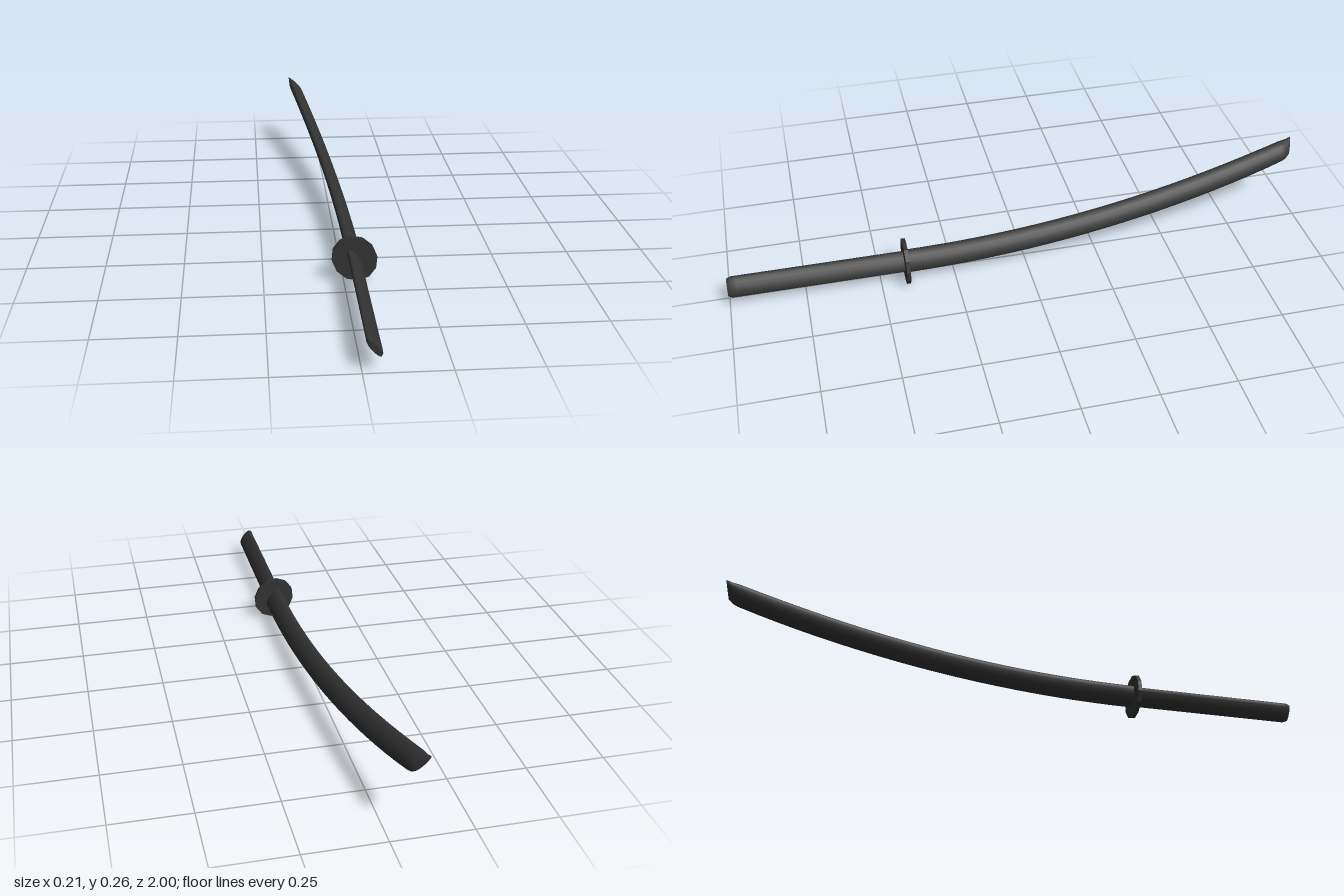
import * as THREE from 'three';

const SIDES = 16;

// Skins a row of elliptical sections running from +z to -z.
// Section: z, y centre, half height a, half width b, lean (z shift of the top).
// A repeated section gives a sharp edge; a section of zero size closes an end.
function loft(sections) {
  const pos = [], index = [];
  for (const { z, y = 0, a = 0, b = 0, lean = 0 } of sections) {
    for (let j = 0; j < SIDES; j++) {
      const t = (j / SIDES) * Math.PI * 2;
      pos.push(b * Math.cos(t), y + a * Math.sin(t), z + lean * Math.sin(t));
    }
  }
  for (let i = 0; i < sections.length - 1; i++) {
    for (let j = 0; j < SIDES; j++) {
      const k = (j + 1) % SIDES;
      const p = i * SIDES + j, q = i * SIDES + k;
      index.push(p, p + SIDES, q, p + SIDES, q + SIDES, q);
    }
  }
  const geo = new THREE.BufferGeometry();
  geo.setAttribute('position', new THREE.Float32BufferAttribute(pos, 3));
  geo.setIndex(index);
  geo.computeVertexNormals();
  return geo;
}

export function createModel() {
  const model = new THREE.Group();
  model.name = 'curvedSword';
  const dark = new THREE.MeshStandardMaterial({ color: 0x333333 });
  const darkFlat = new THREE.MeshStandardMaterial({ color: 0x333333, flatShading: true });

  // The whole sword is rolled about its long axis
  const sword = new THREE.Group();
  sword.name = 'sword';
  sword.position.set(0.034, 0.0745, 0);
  sword.rotation.z = THREE.MathUtils.degToRad(36.5);
  model.add(sword);

  const add = (name, geo, mat) => {
    const mesh = new THREE.Mesh(geo, mat);
    mesh.name = name;
    sword.add(mesh);
    return mesh;
  };

  // Straight oval grip with a softened pommel end
  const end = { z: 1, a: 0.029, b: 0.009 };
  const grip = { a: 0.035, b: 0.0135 };
  add('handle', loft([
    { z: 1 }, end, end,
    { z: 0.985, ...grip }, { z: 0.97, ...grip }, { z: 0.41, ...grip },
  ]), dark);

  // Twelve-sided guard, slightly taller than wide
  const guard = add('guard',
    new THREE.CylinderGeometry(1, 1, 0.013, 12).rotateX(Math.PI / 2), darkFlat);
  guard.scale.set(0.069, 0.0765, 1);
  guard.position.z = 0.412;

  // Blade sections stay square to the curve until the tip
  const start = 0.41, reach = 1.365, curve = 0.102, steps = 20;
  const blade = [];
  for (let i = 0; i <= steps; i++) {
    const t = (i / steps) * reach;
    const slope = 2 * curve * t;
    const a = 0.0385 - 0.0025 * (i / steps);
    blade.push({
      z: start - t, y: curve * t * t, a, b: 0.0185,
      lean: a * slope * (1 - (i / steps) ** 8),
    });
  }
  // Slanted tip narrowing towards the back edge
  const tip = { z: -0.993, y: 0.206, a: 0.031, b: 0.006, lean: -0.007 };
  blade.push({ z: -0.977, y: 0.196, a: 0.035, b: 0.014, lean: -0.006 });
  blade.push(tip, tip, { z: tip.z, y: tip.y });
  add('blade', loft([{ z: start }, blade[0], ...blade]), dark);

  return model;
}
